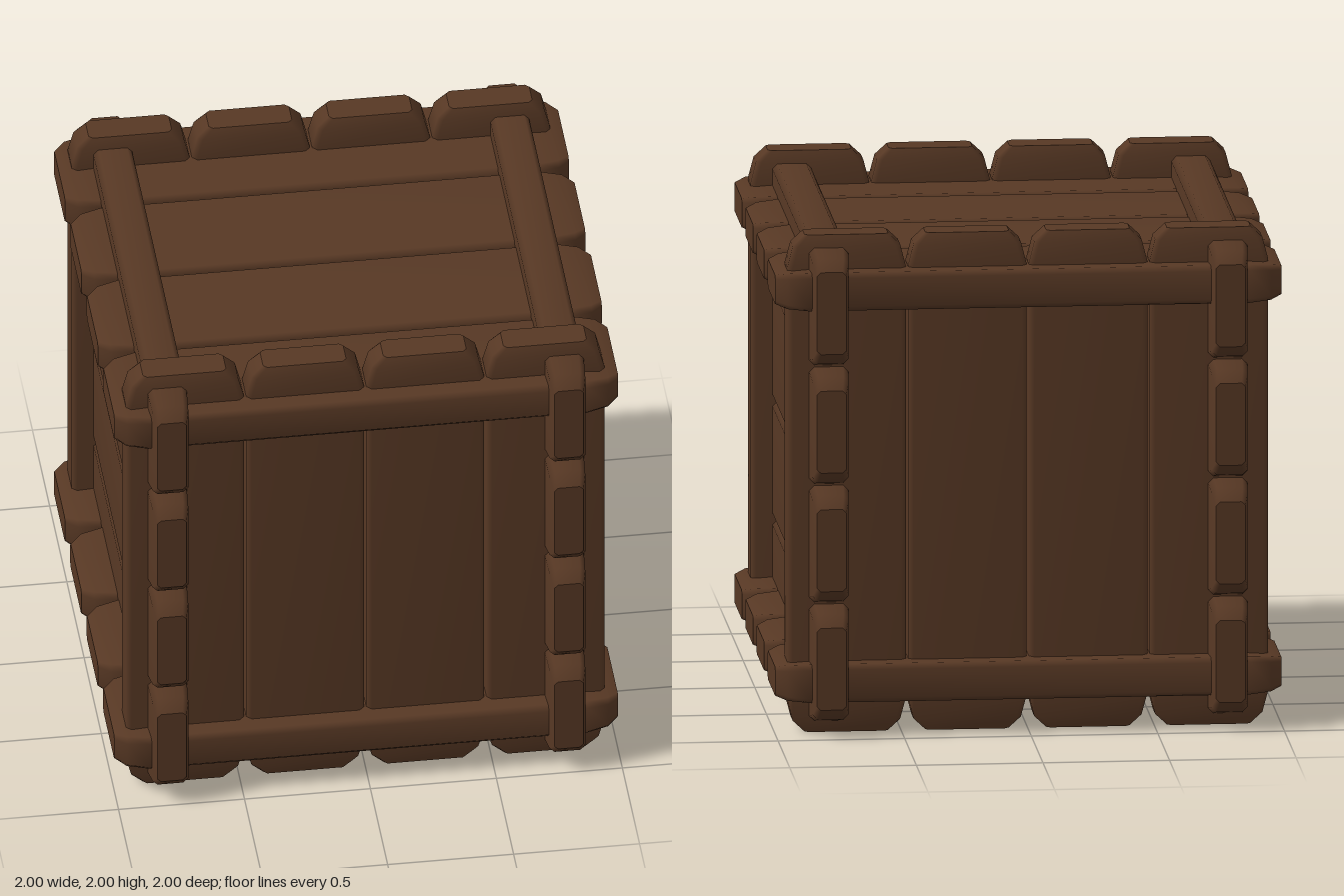
import * as THREE from 'three';

const wood = new THREE.MeshStandardMaterial({ color: 0x573824 });
wood.name = 'dark brown wood';

// One plank: length along y, width along x, thickness along z, with tapered ends.
function plankGeometry() {
  // [y, half width, half thickness, chamfer]
  const sections = [
    [-1, 0.165, 0.058, 0.015], [-0.955, 0.212, 0.071, 0.02], [-0.87, 0.234, 0.077, 0.02],
    [0.87, 0.234, 0.077, 0.02], [0.955, 0.212, 0.071, 0.02], [1, 0.165, 0.058, 0.015],
  ];
  const ring = ([y, w, t, c]) => [
    [w, y, -t + c], [w, y, t - c], [w - c, y, t], [-w + c, y, t],
    [-w, y, t - c], [-w, y, -t + c], [-w + c, y, -t], [w - c, y, -t],
  ];
  const points = [];
  const index = [];
  const n = 8;
  sections.forEach((s) => points.push(...ring(s)));
  for (let s = 0; s < sections.length - 1; s++) {
    for (let i = 0; i < n; i++) {
      const a = s * n + i;
      const b = s * n + (i + 1) % n;
      index.push(a, a + n, b, b, a + n, b + n);
    }
  }
  // Flat end caps with their own vertices
  for (const end of [0, sections.length - 1]) {
    const start = points.length;
    points.push(...ring(sections[end]));
    for (let i = 1; i < n - 1; i++) {
      if (end === 0) index.push(start, start + i, start + i + 1);
      else index.push(start, start + i + 1, start + i);
    }
  }
  const g = new THREE.BufferGeometry();
  g.setAttribute('position', new THREE.Float32BufferAttribute(points.flat(), 3));
  g.setIndex(index);
  g.computeVertexNormals();
  return g;
}

export function createModel() {
  const crate = new THREE.Group();
  crate.name = 'woodenCrate';
  const geometry = plankGeometry();
  const X = new THREE.Vector3(1, 0, 0);
  const Y = new THREE.Vector3(0, 1, 0);
  const Z = new THREE.Vector3(0, 0, 1);

  // Each pair of opposite panels: axes for plank width, length and thickness
  const pairs = [
    { names: ['frontPanel', 'backPanel'], axes: [X, Y, Z] },
    { names: ['leftPanel', 'rightPanel'], axes: [Y, Z, X] },
    { names: ['topPanel', 'bottomPanel'], axes: [Z, X, Y] },
  ];
  for (const { names, axes } of pairs) {
    const basis = new THREE.Matrix4().makeBasis(...axes);
    names.forEach((name, k) => {
      const panel = new THREE.Group();
      panel.name = name;
      panel.quaternion.setFromRotationMatrix(basis);
      panel.position.set(0, 1, 0);
      // Four planks side by side
      for (let i = 0; i < 4; i++) {
        const plank = new THREE.Mesh(geometry, wood);
        plank.name = 'plank' + (i + 1);
        plank.position.set((i - 1.5) * 0.477, 0, k === 0 ? 0.788 : -0.788);
        panel.add(plank);
      }
      crate.add(panel);
    });
  }
  return crate;
}
